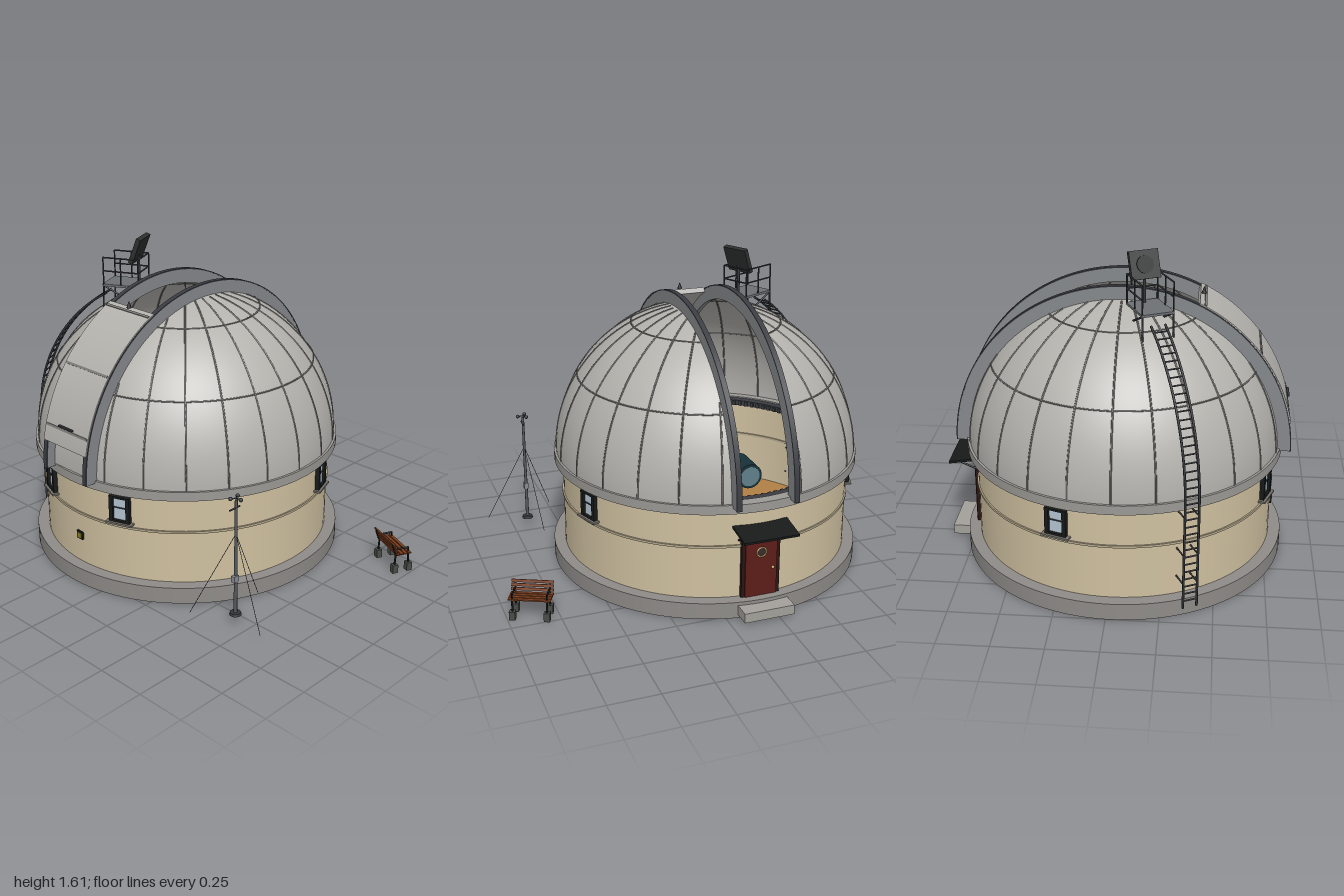
import * as THREE from 'three';
import { toCreasedNormals } from 'three/addons/utils/BufferGeometryUtils.js';

const V = (x, y, z) => new THREE.Vector3(x, y, z);
const rad = THREE.MathUtils.degToRad;
const DOME = 0xb4b2ad, METAL = 0x3a3c42, BLACK = 0x181a1a, STONE = 0x8e8b88, WALL = 0xcfc0a0;
const TEAL = 0x17323a, BRASS = 0xc9ad6c, IRON = 0x33363a, WOOD = 0x7a3e1e;
const R = 0.785, CY = 0.585, HALF = 0.15; // dome radius, dome centre height, half slit width

function add(parent, name, geo, color, pos = [0, 0, 0], rot = [0, 0, 0], double = false) {
  const mat = new THREE.MeshStandardMaterial({ color });
  if (double) mat.side = THREE.DoubleSide;
  const m = new THREE.Mesh(geo, mat);
  m.name = name;
  m.position.set(...pos);
  m.rotation.set(...rot);
  parent.add(m);
  return m;
}
function group(parent, name, pos = [0, 0, 0], ry = 0) {
  const g = new THREE.Group();
  g.name = name;
  g.position.set(...pos);
  g.rotation.y = ry;
  parent.add(g);
  return g;
}
const box = (w, h, d) => new THREE.BoxGeometry(w, h, d);
const cyl = (r0, r1, h, n = 24, open = false) => new THREE.CylinderGeometry(r0, r1, h, n, 1, open);
const tube = (pts, r, n = 32) => new THREE.TubeGeometry(new THREE.CatmullRomCurve3(pts), n, r, 6);

// straight round bar between two points
function rod(parent, name, a, b, r, color) {
  const m = add(parent, name, cyl(r, r, a.distanceTo(b), 8), color);
  m.position.copy(a).lerp(b, 0.5);
  m.quaternion.setFromUnitVectors(V(0, 1, 0), b.clone().sub(a).normalize());
}
// ring of rectangular section around the y axis
function ring(r0, r1, y0, y1) {
  const p = [[r0, y0], [r1, y0], [r1, y1], [r0, y1], [r0, y0]].map(q => new THREE.Vector2(...q));
  return toCreasedNormals(new THREE.LatheGeometry(p, 96), 0.6);
}
// curved band over the dome along x, angles in degrees from front (0) over the top to back (180)
function band(r0, r1, a0, a1, width) {
  const s = new THREE.Shape();
  s.absarc(0, 0, r1, rad(a0), rad(a1), false);
  s.absarc(0, 0, r0, rad(a1), rad(a0), true);
  const g = new THREE.ExtrudeGeometry(s, { depth: width, bevelEnabled: false, curveSegments: 48 });
  g.translate(0, 0, -width / 2).rotateY(-Math.PI / 2);
  return toCreasedNormals(g, 0.6);
}

function buildDrum(b) {
  add(b, 'foundation', ring(0.725, 0.8125, 0, 0.085), STONE, [0, 0, 0], [0, 0, 0], true);
  add(b, 'underside', cyl(0.73, 0.73, 0.04, 64), 0x5a4030, [0, 0.05, 0]);
  add(b, 'floor', cyl(0.75, 0.75, 0.02, 64), 0xb07f45, [0, 0.08, 0]);
  add(b, 'wall', cyl(0.7525, 0.7525, 0.475, 96, true), WALL, [0, 0.32, 0], [0, 0, 0], true);
  add(b, 'wallMoulding', ring(0.745, 0.76, 0.355, 0.367), 0xb5a88c, [0, 0, 0], [0, 0, 0], true);
  // windows, two in front and one on each side
  for (const a of [20, -20, 110, -110]) {
    const w = group(b, 'window', [0, 0.4575, 0], rad(a));
    add(w, 'pane', box(0.09, 0.13, 0.02), 0xb4c6d2, [0, 0, 0.748]);
    for (const s of [-1, 1]) {
      add(w, 'jamb', box(0.02, 0.135, 0.035), BLACK, [s * 0.045, 0, 0.755]);
      add(w, 'frameRail', box(0.11, 0.01, 0.035), BLACK, [0, s * 0.063, 0.755]);
    }
    add(w, 'mullion', box(0.07, 0.006, 0.015), IRON, [0, 0.005, 0.755]);
    add(w, 'sill', box(0.14, 0.01, 0.045), 0x77736c, [0, -0.073, 0.762]);
  }
  add(b, 'plaqueFrame', box(0.042, 0.042, 0.012), BLACK, [0, 0.235, 0.756]);
  add(b, 'plaque', box(0.028, 0.028, 0.012), 0x8a8020, [0, 0.235, 0.759]);
  // door, canopy and step at the back
  const d = group(b, 'entrance', [0, 0, 0], Math.PI);
  add(d, 'doorFrame', box(0.2, 0.335, 0.03), 0x2a1512, [0, 0.25, 0.75]);
  add(d, 'door', box(0.165, 0.31, 0.03), 0x5c1c18, [0, 0.24, 0.756]);
  add(d, 'porthole', new THREE.TorusGeometry(0.024, 0.004, 8, 24), BRASS, [0, 0.32, 0.772]);
  add(d, 'portholeGlass', new THREE.CircleGeometry(0.023, 24), 0x3a2a2a, [0, 0.32, 0.7725]);
  add(d, 'doorKnob', new THREE.SphereGeometry(0.008, 10, 8), BRASS, [0.06, 0.23, 0.776]);
  add(d, 'canopy', box(0.285, 0.012, 0.15), BLACK, [0, 0.452, 0.815], [0.15, 0, 0]);
  for (const s of [-1, 1])
    rod(d, 'canopyBracket', V(s * 0.11, 0.39, 0.745), V(s * 0.11, 0.442, 0.86), 0.005, BLACK);
  add(d, 'step', box(0.26, 0.05, 0.11), 0xa3a09b, [0, 0.042, 0.833]);
}

function buildDome(b) {
  add(b, 'domeRing', ring(0.74, 0.797, 0.55, 0.597), 0x9b9995, [0, 0, 0], [0, 0, 0], true);
  add(b, 'gearRing', ring(0.695, 0.74, 0.56, 0.59), METAL, [0, 0, 0], [0, 0, 0], true);
  for (let i = 0; i < 120; i++) {
    const a = i * Math.PI / 60;
    add(b, 'gearTooth', box(0.017, 0.025, 0.016), METAL, [0.69 * Math.sin(a), 0.575, 0.69 * Math.cos(a)], [0, a, 0]);
  }
  const d = group(b, 'dome', [0, CY, 0]);
  for (const s of [1, -1]) {
    const g = new THREE.SphereGeometry(R, 64, 40, -Math.PI / 2, Math.PI, 0, Math.acos(HALF / R));
    g.rotateZ(-Math.PI / 2);
    add(d, 'domeShell', g, DOME, [0, 0, 0], [0, s > 0 ? 0 : Math.PI, 0], true);
    add(d, 'slitRail', band(0.76, 0.832, 0, 180, 0.025), 0x85888b, [s * 0.1475, 0, 0]);
    add(d, 'railCap', band(0.83, 0.836, 0, 180, 0.027), METAL, [s * 0.1475, 0, 0]);
    // meridian ribs, ending at the slit
    for (let i = 1; i < 12; i++) {
      const az = rad(i * 15);
      const p0 = Math.max(rad(13), Math.asin(Math.min(1, 0.163 / (R * Math.sin(az)))));
      const pts = [];
      for (let k = 0; k <= 14; k++) {
        const p = p0 + (Math.PI / 2 - p0) * k / 14;
        pts.push(V(s * R * Math.sin(p) * Math.sin(az), R * Math.cos(p), R * Math.sin(p) * Math.cos(az)));
      }
      add(d, 'rib', tube(pts, 0.0045), 0x7c7b78);
    }
    // horizontal seams
    for (const y of [0.418, 0.685]) {
      const r = Math.sqrt(R * R - y * y), a0 = Math.asin(0.16 / r), pts = [];
      for (let k = 0; k <= 24; k++) {
        const a = a0 + (Math.PI - 2 * a0) * k / 24;
        pts.push(V(s * r * Math.sin(a), y, r * Math.cos(a)));
      }
      add(d, 'seam', tube(pts, 0.004, 64), 0x7c7b78);
    }
  }
  // closed front of the slit
  add(d, 'lowerPanel', band(0.77, 0.785, 0, 16, 0.28), DOME);
  add(d, 'shutter', band(0.815, 0.842, 10.3, 64, 0.315), DOME);
  for (const a of [16, 37.5, 62]) add(d, 'shutterSeam', band(0.84, 0.846, a - 0.4, a + 0.4, 0.3), 0x7c7b78);
  add(d, 'shutterHandle', box(0.1, 0.008, 0.012), IRON, [0, 0.25, 0.815]);
  add(d, 'shutterKnob', new THREE.ConeGeometry(0.013, 0.035, 10), BLACK, [0, 0.775, 0.385]);
}

function buildTelescope(b) {
  const t = group(b, 'telescope');
  add(t, 'pierBase', cyl(0.215, 0.215, 0.04, 48), 0xc4c4c2, [0, 0.11, 0]);
  add(t, 'pier', cyl(0.07, 0.1, 0.42, 24), 0x9a9a98, [0, 0.34, 0]);
  add(t, 'mountHead', new THREE.SphereGeometry(0.085, 24, 16), 0x2b3034, [0, 0.56, 0]);
  add(t, 'crossAxis', cyl(0.035, 0.035, 0.22, 20), 0x2b3034, [0, 0.6, 0], [0, 0, Math.PI / 2]);
  for (const s of [-1, 1]) add(t, 'axisDisc', cyl(0.06, 0.06, 0.02, 24), 0x4a4f55, [s * 0.1, 0.6, 0], [0, 0, Math.PI / 2]);
  const along = (name, r0, r1, z0, z1, color, x = 0, y = 0.65) =>
    add(t, name, cyl(r1, r0, z1 - z0, 28), color, [x, y, (z0 + z1) / 2], [Math.PI / 2, 0, 0]);
  along('dewCap', 0.062, 0.062, -0.61, -0.455, TEAL);
  along('mainTube', 0.05, 0.045, -0.456, 0.08, TEAL);
  along('lens', 0.05, 0.05, -0.612, -0.6, 0x5f7f8a);
  for (const z of [-0.32, -0.08, 0.075]) along('tubeRing', 0.054, 0.054, z, z + 0.018, BRASS);
  along('focuser', 0.035, 0.03, 0.08, 0.15, TEAL);
  along('drawTube', 0.022, 0.022, 0.15, 0.19, BRASS);
  along('eyepiece', 0.013, 0.013, 0.19, 0.215, BRASS);
  along('finder', 0.013, 0.013, -0.33, -0.06, BRASS, 0, 0.713);
}

function buildLadder(b) {
  const g = group(b, 'roofAccess', [0, 0, 0], rad(-64));
  // path in (height, radius): straight up the wall, then over the dome
  const path = [V(0, 0.05, 0.835), V(0, 0.2, 0.835), V(0, 0.4, 0.835), V(0, 0.585, 0.835)];
  for (let a = 8; a <= 60; a += 6.5) path.push(V(0, CY + 0.835 * Math.sin(rad(a)), 0.835 * Math.cos(rad(a))));
  const curve = new THREE.CatmullRomCurve3(path);
  for (const s of [-1, 1]) {
    add(g, 'ladderRail', tube(path.map(p => V(s * 0.035, p.y, p.z)), 0.006, 60), IRON);
    for (const y of [0.18, 0.33, 0.53]) rod(g, 'ladderBracket', V(s * 0.035, y, 0.835), V(s * 0.035, y, 0.745), 0.004, IRON);
  }
  for (let i = 1; i < 36; i++) {
    const p = curve.getPointAt(i / 36);
    rod(g, 'rung', V(-0.035, p.y, p.z), V(0.035, p.y, p.z), 0.004, IRON);
  }
  // platform with railings
  add(g, 'platform', box(0.16, 0.012, 0.2), 0x6d7174, [0, 1.36, 0.32]);
  for (const s of [-1, 1]) {
    const x = s * 0.077;
    for (const z of [0.225, 0.32, 0.415]) rod(g, 'railPost', V(x, 1.36, z), V(x, 1.505, z), 0.004, IRON);
    for (const y of [1.435, 1.505]) rod(g, 'handRail', V(x, y, 0.225), V(x, y, 0.415), 0.004, IRON);
    rod(g, 'platformStrut', V(x, 1.355, 0.415), V(x, 1.24, 0.42), 0.005, IRON);
    rod(g, 'platformStrut', V(x, 1.355, 0.41), V(x, 1.3, 0.3), 0.005, IRON);
  }
  for (const y of [1.435, 1.505]) rod(g, 'handRail', V(-0.077, y, 0.225), V(0.077, y, 0.225), 0.004, IRON);
  // tilted panel on a post
  rod(g, 'panelPost', V(0, 1.36, 0.25), V(0, 1.54, 0.25), 0.008, IRON);
  const p = group(g, 'panel', [0, 1.547, 0.245]);
  p.rotation.x = -0.36;
  add(p, 'panelBody', box(0.145, 0.135, 0.024), 0x2c302e);
  add(p, 'panelDisc', cyl(0.042, 0.042, 0.008, 24), BLACK, [0, 0, 0.013], [Math.PI / 2, 0, 0]);
}

function buildMast(root) {
  const g = group(root, 'weatherMast', [0.672, 0, 0.562]);
  add(g, 'mastBase', cyl(0.026, 0.03, 0.012, 16), IRON, [0, 0.056, 0]);
  add(g, 'mastPole', cyl(0.007, 0.009, 0.6, 10), 0x55585c, [0, 0.355, 0]);
  add(g, 'instrumentBox', box(0.022, 0.032, 0.03), 0x8a8d90, [0, 0.245, 0.005]);
  rod(g, 'crossArm', V(0, 0.615, -0.025), V(0, 0.615, 0.045), 0.004, IRON);
  for (let i = 0; i < 3; i++) {
    const a = i * Math.PI * 2 / 3 + Math.PI / 2, c = V(0.028 * Math.sin(a), 0.663, 0.028 * Math.cos(a));
    rod(g, 'cupArm', V(0, 0.663, 0), c, 0.003, IRON);
    add(g, 'windCup', new THREE.SphereGeometry(0.01, 10, 8), IRON, c.toArray());
  }
  for (const [x, z] of [[-0.045, -0.21], [0.21, 0.06], [-0.16, 0.145]]) {
    rod(g, 'guyWire', V(0, 0.48, 0), V(x, 0.055, z), 0.0014, IRON);
  }
}

function buildBench(root) {
  const g = group(root, 'bench', [0.88, 0, -0.417], rad(-25));
  for (const s of [-1, 1]) {
    const x = s * 0.085;
    for (const z of [-0.04, 0.04]) {
      add(g, 'footBlock', box(0.03, 0.045, 0.03), 0x4a4a48, [x, 0.0225, z]);
      rod(g, 'leg', V(x, 0.04, z), V(x, 0.1, z * 0.9), 0.005, BLACK);
    }
    rod(g, 'seatBearer', V(x, 0.098, -0.04), V(x, 0.098, 0.04), 0.005, BLACK);
    rod(g, 'backSupport', V(x, 0.095, 0.036), V(x, 0.165, 0.058), 0.005, BLACK);
    rod(g, 'armRest', V(x, 0.13, -0.035), V(x, 0.13, 0.046), 0.005, BLACK);
    rod(g, 'armPost', V(x, 0.095, -0.035), V(x, 0.13, -0.035), 0.004, BLACK);
  }
  for (let i = 0; i < 4; i++) add(g, 'seatSlat', box(0.21, 0.007, 0.016), WOOD, [0, 0.106, -0.035 + i * 0.022]);
  for (let i = 0; i < 3; i++) add(g, 'backSlat', box(0.21, 0.014, 0.007), WOOD, [0, 0.122 + i * 0.019, 0.042 + i * 0.006], [0.3, 0, 0]);
}

export function createModel() {
  const root = new THREE.Group();
  root.name = 'observatory';
  const b = group(root, 'building', [-0.1875, 0, 0.025]);
  buildDrum(b);
  buildDome(b);
  buildTelescope(b);
  buildLadder(b);
  buildMast(root);
  buildBench(root);
  return root;
}
